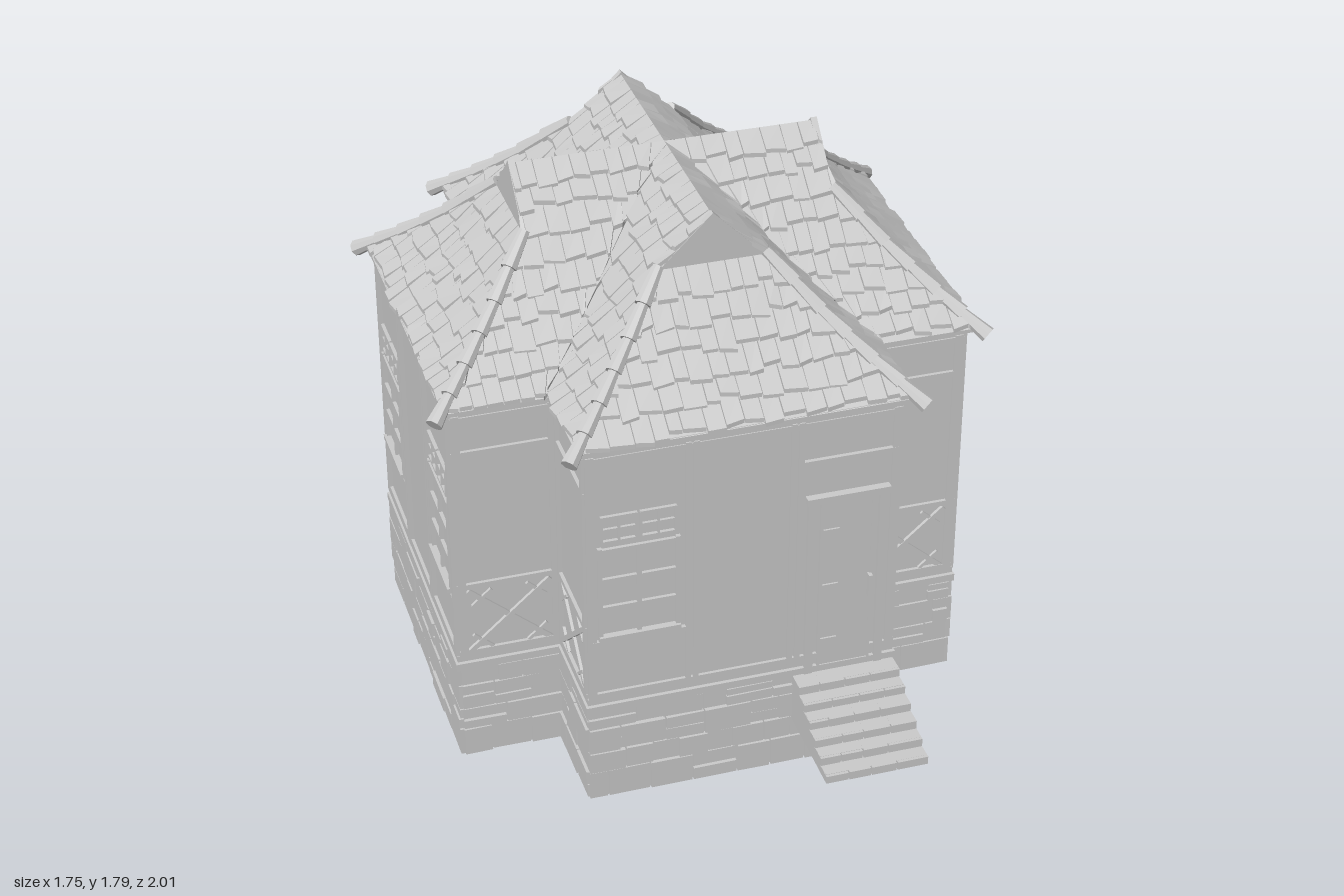
import * as THREE from 'three';
import { mergeGeometries } from 'three/addons/utils/BufferGeometryUtils.js';

const E = 0.798, H = 0.476, CZ = -0.135;      // arm reach, arm half width, centre of the cross
const RIDGE = 0.48, BREAK = 0.165, EAVE = 0.505; // ridge end, gablet half width, eave distance
const mat = new THREE.MeshStandardMaterial({ color: 0xcccccc, flatShading: true, side: THREE.DoubleSide });

let seed = 7;
const rnd = () => (seed = (seed * 16807) % 2147483647) / 2147483647;
const jit = (a) => (rnd() - 0.5) * 2 * a;
const clamp = THREE.MathUtils.clamp, lerp = THREE.MathUtils.lerp;

function box(x, y, z, w, h, d, rz = 0) {
  return new THREE.BoxGeometry(w, h, d).rotateZ(rz).translate(x, y, z);
}
function mesh(parent, name, geos) {
  const m = new THREE.Mesh(Array.isArray(geos) ? mergeGeometries(geos) : geos, mat);
  m.name = name;
  parent.add(m);
  return m;
}

// Hollow band following the cross-shaped plan
function crossPoints(o) {
  const e = E + o, h = H + o;
  return [[h, e], [-h, e], [-h, h], [-e, h], [-e, -h], [-h, -h], [-h, -e], [h, -e], [h, -h], [e, -h], [e, h], [h, h]]
    .map(([x, y]) => new THREE.Vector2(x, y));
}
function crossBand(offset, y0, y1, thick) {
  const s = new THREE.Shape(crossPoints(offset));
  s.holes.push(new THREE.Path(crossPoints(offset - thick)));
  return new THREE.ExtrudeGeometry(s, { depth: y1 - y0, bevelEnabled: false })
    .rotateX(-Math.PI / 2).translate(0, y0, 0);
}

// Rough masonry on a wall face of the given width
function stones(width) {
  const out = [];
  let y = 0;
  for (const rowH of [0.1, 0.075, 0.09, 0.065]) {
    let x = -width / 2;
    while (x < width / 2 - 0.005) {
      let w = Math.min(0.06 + rnd() * 0.1, width / 2 - x);
      if (width / 2 - x - w < 0.04) w = width / 2 - x;
      const split = rnd() < 0.3 ? 0.4 + rnd() * 0.2 : 1;
      for (const [a, b] of split < 1 ? [[0, split], [split, 1]] : [[0, 1]]) {
        const d = 0.006 + rnd() * 0.009;
        out.push(box(x + w / 2, y + rowH * (a + b) / 2, d / 2 - 0.002,
          w - 0.005, rowH * (b - a) - 0.005, d + 0.004, jit(0.015)));
      }
      x += w;
    }
    y += rowH;
  }
  return out;
}

// Two-column window with transom, and the rail beneath it
function windowParts(x) {
  const out = [box(x, 0.585, 0.006, 0.29, 0.016, 0.014), box(x, 0.605, 0.01, 0.25, 0.014, 0.024)];
  for (const s of [-1, 1]) {
    out.push(box(x + s * 0.119, 0.76, 0.006, 0.014, 0.33, 0.014));
    for (const y of [0.945, 1.03]) out.push(box(x + s * 0.06, y, 0.005, 0.11, 0.008, 0.012));
    for (const k of [0.007, 0.06, 0.112]) out.push(box(x + s * k, 0.987, 0.005, 0.007, 0.09, 0.012));
    out.push(box(x + s * 0.06, 0.987, 0.004, 0.11, 0.006, 0.01));
  }
  for (const y of [0.71, 0.81, 0.915]) out.push(box(x, y, 0.005, 0.24, 0.01, 0.012));
  out.push(box(x, 0.76, 0.005, 0.014, 0.31, 0.012));
  return out;
}

function doorParts(x) {
  const out = [box(x, 0.968, 0.012, 0.26, 0.022, 0.026), box(x, 0.655, 0.004, 0.155, 0.61, 0.012),
    box(x, 1.1, 0.006, 0.3, 0.014, 0.014), box(x + 0.075, 0.63, 0.02, 0.012, 0.08, 0.022)];
  for (const s of [-1, 1]) {
    out.push(box(x + s * 0.112, 0.645, 0.008, 0.025, 0.63, 0.02));
    out.push(box(x + s * 0.08, 0.645, 0.006, 0.008, 0.62, 0.018));
  }
  for (const y of [0.45, 0.65, 0.85]) out.push(box(x - 0.05, y, 0.01, 0.05, 0.01, 0.012));
  return out;
}

// Timber framing of an arm's end wall
function endFrame() {
  const out = [];
  for (const s of [-1, 1]) {
    out.push(box(s * (H - 0.008), 0.81, 0.003, 0.026, 0.87, 0.018));
    for (const k of [0.148, 0.172]) out.push(box(s * k, 0.81, 0.005, 0.016, 0.87, 0.016));
  }
  for (const y of [0.39, 1.23]) out.push(box(0, y, 0.003, 2 * H, 0.018, 0.014));
  return out;
}

// Timber framing and cross-braced panel of a return wall
function returnFrame(w) {
  const out = [];
  for (const s of [-1, 1]) {
    out.push(box(s * (w / 2 - 0.015), 0.81, 0.004, 0.026, 0.87, 0.016));
    out.push(box(0, 0.505, 0.004 + s * 0.001, 0.34, 0.016, 0.012, s * 0.72));
    for (const t of [-1, 1]) // short braces cutting the panel corners
      out.push(box(s * 0.085, 0.505 + t * 0.08, 0.004, 0.08, 0.01, 0.01, -s * t * 0.72));
  }
  for (const y of [0.39, 0.635, 1.11, 1.23]) out.push(box(0, y, 0.004, w, 0.018, 0.014));
  return out;
}

// Roof height and reach as functions of distance from the ridge line
function roofY(d) {
  const p = [[0, 1.765], [BREAK, 1.615], [0.3, 1.46], [0.42, 1.345], [0.56, 1.225]];
  let i = 0;
  while (i < 3 && d > p[i + 1][0]) i++;
  return lerp(p[i][1], p[i + 1][1], (d - p[i][0]) / (p[i + 1][0] - p[i][0]));
}
const reach = (d) => RIDGE + Math.max(0, d - BREAK);

// The three slopes of an arm: side = -1, 1 (flanks) or 0 (hipped end)
const range = (side, d) => (side ? [d, reach(d)] : [-d, d]);
const place = (side, t, d, lift) => (side
  ? [side * d, roofY(d) + lift, t] : [t, roofY(d) + lift, reach(d)]);

// Warp a box so x runs along the slope, z runs down it and y is its thickness
function slab(side, t0, t1, d0, d1, lift0, lift1, thick, skew = 0) {
  const g = new THREE.BoxGeometry(1, 1, 1), p = g.attributes.position;
  for (let i = 0; i < p.count; i++) {
    let s = p.getX(i) + 0.5;
    const v = p.getZ(i) + 0.5, h = p.getY(i) + 0.5;
    if (side > 0) s = 1 - s;
    const d = Math.max(0, lerp(d0, d1, v) + (v ? skew * (s - 0.5) : 0));
    const [a, b] = range(side, d);
    p.setXYZ(i, ...place(side, clamp(lerp(t0, t1, s), a, b), d, lerp(lift0, lift1, v) + h * thick));
  }
  g.computeVertexNormals();
  return g;
}

function shingles(side) {
  const out = [], rows = side ? 9 : 6, start = side ? 0 : BREAK, step = (EAVE - start) / rows;
  for (let r = 0; r < rows; r++) {
    const d0 = start + r * step, d1 = d0 + step;
    const a = Math.min(range(side, d0)[0], range(side, d1)[0]), b = range(side, d1)[1];
    // deck strip below the tiles
    out.push(slab(side, -2, 2, d0, d1, -0.012, -0.012, 0.012));
    let t = a - rnd() * 0.03;
    while (t < b) {
      const w = 0.04 + rnd() * 0.035;
      out.push(slab(side, t, t + w - 0.003, Math.max(start, d0 - 0.008), d1 + 0.008 + jit(0.01),
        0.002, 0.014 + rnd() * 0.01, 0.014, jit(0.008)));
      t += w;
    }
  }
  return out;
}

// Overlapping round caps along a hip
function hipCaps(side) {
  const out = [], n = 6, up = new THREE.Vector3(0, 1, 0);
  const at = (k) => {
    const d = lerp(BREAK, 0.535, k);
    return new THREE.Vector3(side * d, roofY(d) + 0.02, reach(d));
  };
  for (let i = 0; i < n; i++) {
    const a = at(i / n), b = at((i + 1) / n), dir = a.clone().sub(b);
    const mid = a.clone().add(b).multiplyScalar(0.5);
    out.push(new THREE.CylinderGeometry(0.017, 0.026, dir.length() + 0.01, 8)
      .applyQuaternion(new THREE.Quaternion().setFromUnitVectors(up, dir.normalize()))
      .translate(mid.x, mid.y, mid.z));
  }
  return out;
}

export function createModel() {
  const model = new THREE.Group();
  model.name = 'house';
  const house = new THREE.Group();
  house.name = 'building';
  house.position.z = CZ;
  model.add(house);

  mesh(house, 'baseWall', crossBand(0, 0, 0.335, 0.02));
  mesh(house, 'upperWall', crossBand(0, 0.335, 1.26, 0.015));
  mesh(house, 'sillBand', [crossBand(0.014, 0.33, 0.355, 0.03), crossBand(0.008, 0.36, 0.382, 0.02)]);
  mesh(house, 'cornice', [crossBand(0.008, 1.24, 1.262, 0.02), crossBand(0.02, 1.258, 1.275, 0.03)]);

  for (let k = 0; k < 4; k++) {
    const arm = new THREE.Group();
    arm.name = ['frontArm', 'leftArm', 'backArm', 'rightArm'][k];
    arm.rotation.y = k * Math.PI / 2;
    house.add(arm);

    // End wall
    const end = new THREE.Group();
    end.name = 'endWall';
    end.position.z = E;
    arm.add(end);
    mesh(end, 'stones', stones(2 * H + 0.016));
    mesh(end, 'timberFrame', endFrame());
    mesh(end, 'window', windowParts(-0.322));
    if (k === 0) mesh(end, 'door', doorParts(0.32));
    else mesh(end, 'window', windowParts(0.322));

    // Return walls
    for (const s of [-1, 1]) {
      const side = new THREE.Group();
      side.name = 'returnWall';
      side.position.set(s * H, 0, (H + E) / 2);
      side.rotation.y = s * Math.PI / 2;
      arm.add(side);
      mesh(side, 'stones', stones(E - H));
      mesh(side, 'timberFrame', returnFrame(E - H));
    }

    // Roof of this arm
    mesh(arm, 'shingles', [-1, 1, 0].flatMap(shingles));
    mesh(arm, 'hipCaps', [-1, 1].flatMap(hipCaps));
    const tri = new THREE.Shape([new THREE.Vector2(-BREAK, 1.625), new THREE.Vector2(BREAK, 1.625), new THREE.Vector2(0, 1.79)]);
    mesh(arm, 'gablet', new THREE.ExtrudeGeometry(tri, { depth: 0.02, bevelEnabled: false }).translate(0, 0, RIDGE - 0.018));
  }

  // Brick steps up to the door
  const bricks = [];
  const layers = 6, rise = 0.168 / layers;
  for (let i = 0; i < layers; i++) {
    const z1 = 1 - i * 0.052, y = 0.165 + (i + 0.5) * rise;
    bricks.push(box(0.32, y, (0.66 + z1 - 0.01) / 2, 0.32, rise, z1 - 0.01 - 0.66));
    let x = 0.157;
    while (x < 0.48) {
      let w = Math.min(0.06 + rnd() * 0.04, 0.485 - x);
      if (0.485 - x - w < 0.03) w = 0.485 - x;
      bricks.push(box(x + w / 2, y, z1 - 0.03, w - 0.004, rise - 0.003 + rnd() * 0.004, 0.06));
      x += w;
    }
  }
  mesh(model, 'steps', bricks);
  return model;
}
